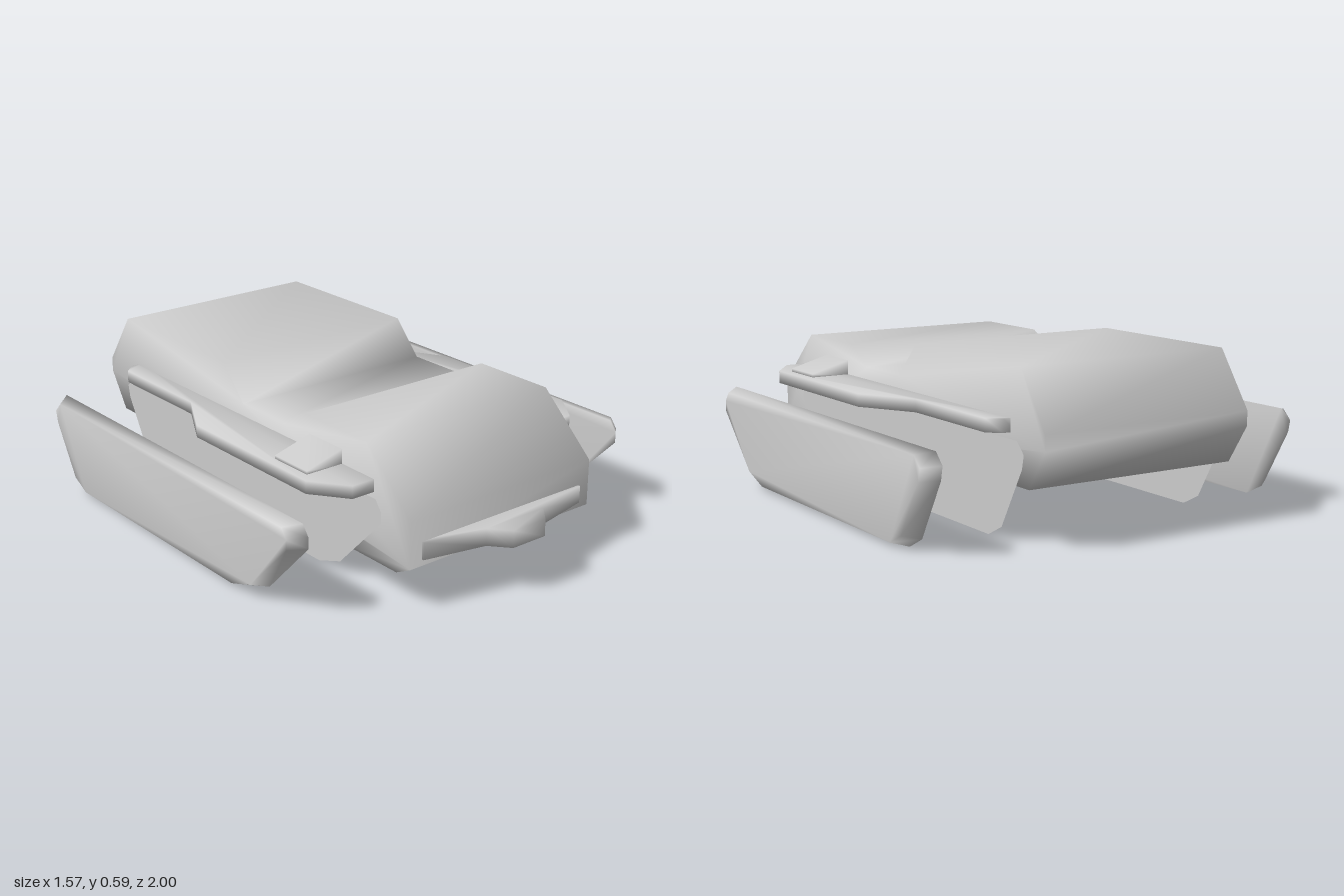
import * as THREE from 'three';
import { mergeVertices } from 'three/addons/utils/BufferGeometryUtils.js';

const material = new THREE.MeshStandardMaterial({ color: 0xcccccc });
const thinMaterial = new THREE.MeshStandardMaterial({ color: 0xcccccc, side: THREE.DoubleSide });

const toShape = (points) => new THREE.Shape(points.map(([a, b]) => new THREE.Vector2(a, b)));

function extrude(points, depth) {
  return new THREE.ExtrudeGeometry(toShape(points), { depth, bevelEnabled: false, steps: 1 });
}

// Share corner vertices so the shading rolls softly over the edges
function soften(geometry) {
  geometry.deleteAttribute('normal');
  geometry.deleteAttribute('uv');
  const merged = mergeVertices(geometry, 1e-4);
  merged.computeVertexNormals();
  return merged;
}

// Side profile given as (z, y), spanning x0..x1
const sideExtrude = (points, x0, x1) =>
  extrude(points, x1 - x0).rotateY(-Math.PI / 2).translate(x1, 0, 0);

// Plan outline given as (x, z), spanning y0..y1
const planExtrude = (points, y0, y1) =>
  extrude(points, y1 - y0).rotateX(Math.PI / 2).translate(0, y1, 0);

function addMesh(parent, name, geometry, mat = material) {
  const mesh = new THREE.Mesh(geometry, mat);
  mesh.name = name;
  parent.add(mesh);
  return mesh;
}

// Outline shared by the outer side plate and the inner skirt (z, y)
const plateOutline = [
  [0.72, 0.31], [0.69, 0.35], [-0.84, 0.35], [-0.88, 0.31], [-0.87, 0.26],
  [-0.75, 0.045], [-0.67, 0.003], [0.38, 0.003], [0.5, 0.045], [0.72, 0.27],
];

function buildSide(name) {
  const side = new THREE.Group();
  side.name = name;

  // Outer plate, tapering towards its outer face
  const plate = sideExtrude(plateOutline, 0.73, 0.785);
  const pos = plate.attributes.position;
  for (let i = 0; i < pos.count; i++) {
    if (pos.getX(i) > 0.76) {
      pos.setY(i, 0.177 + (pos.getY(i) - 0.177) * 0.92);
      pos.setZ(i, -0.08 + (pos.getZ(i) + 0.08) * 0.94);
    }
  }
  addMesh(side, 'sidePlate', soften(plate));

  // Thin skirt lying against the hull
  const skirt = new THREE.ShapeGeometry(toShape(plateOutline));
  skirt.rotateY(-Math.PI / 2).translate(0.424, 0, 0);
  addMesh(side, 'innerSkirt', skirt, thinMaterial);

  // Fender
  addMesh(side, 'fender', soften(planExtrude([
    [0.4, -0.8], [0.45, -0.8], [0.495, -0.76], [0.495, -0.31],
    [0.61, -0.1], [0.61, 0.55], [0.515, 0.68], [0.4, 0.68],
  ], 0.373, 0.42)));

  // Wedge on the fender
  const wedge = extrude([[0.4, 0.415], [0.575, 0.415], [0.575, 0.432], [0.42, 0.475], [0.4, 0.475]], 0.18);
  addMesh(side, 'fenderWedge', soften(wedge.translate(0, 0, 0.33)));
  return side;
}

export function createModel() {
  const model = new THREE.Group();
  model.name = 'vehicle';

  // Hull
  addMesh(model, 'hull', soften(sideExtrude([
    [0.87, 0.155], [0.87, 0.33], [0.64, 0.54], [0.3, 0.54], [0.17, 0.467],
    [-0.07, 0.467], [-0.19, 0.597], [-0.86, 0.597], [-1, 0.395], [-1, 0.34],
    [-0.91, 0.2], [0.3, 0.2], [0.5, 0.12], [0.8, 0.12],
  ], -0.423, 0.423)));

  // Front bumper with a central nose
  addMesh(model, 'bumper', soften(planExtrude([
    [-0.372, 0.85], [0.372, 0.85], [0.372, 0.88], [0.135, 0.93], [0.075, 1],
    [-0.075, 1], [-0.135, 0.93], [-0.372, 0.88],
  ], 0.18, 0.244)));

  // Mirrored side assemblies
  model.add(buildSide('leftSide'));
  const right = buildSide('rightSide');
  right.scale.x = -1;
  model.add(right);

  return model;
}
